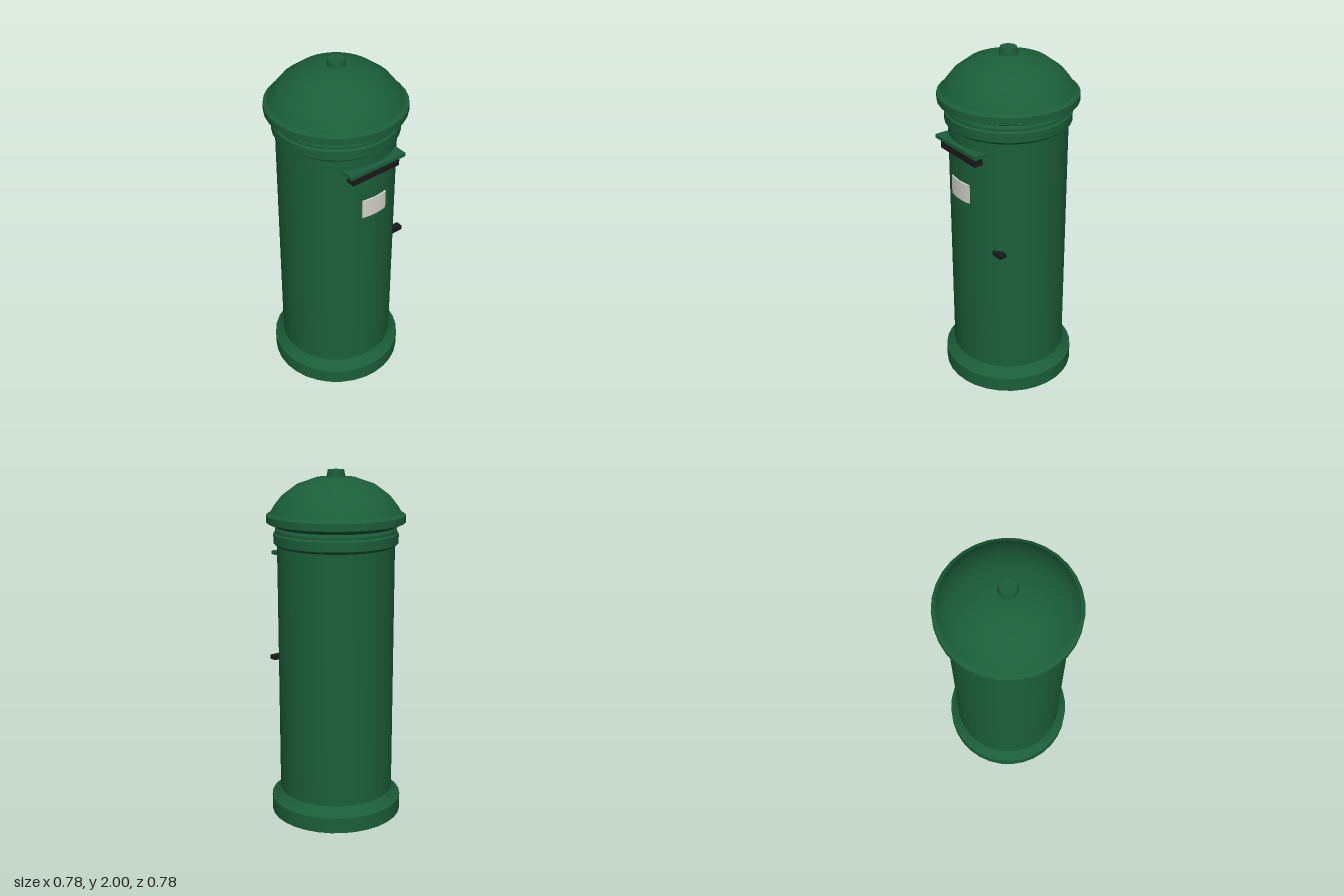
import * as THREE from 'three';
import { toCreasedNormals } from 'three/addons/utils/BufferGeometryUtils.js';

const green = new THREE.MeshStandardMaterial({ color: 0x1b5e3a });
const black = new THREE.MeshStandardMaterial({ color: 0x1a1a1a });
const white = new THREE.MeshStandardMaterial({ color: 0xd4d4cc });

export function createModel() {
  const model = new THREE.Group();

  const add = (name, geometry, material) => {
    const mesh = new THREE.Mesh(geometry, material);
    mesh.name = name;
    model.add(mesh);
    return mesh;
  };

  // Turned part from [radius, height] pairs, listed bottom to top
  const turned = (name, profile, segments = 32) => {
    const points = profile.map(([r, y]) => new THREE.Vector2(r, y));
    return add(name, toCreasedNormals(new THREE.LatheGeometry(points, segments), 0.45), green);
  };

  const box = (name, size, position, material) =>
    add(name, new THREE.BoxGeometry(...size), material).position.set(...position);

  // Plinth with a flared top
  turned('base', [[0, 0], [0.381, 0], [0.381, 0.09], [0.368, 0.098], [0.348, 0.118], [0.33, 0.142], [0, 0.142]]);

  // Pillar
  turned('body', [[0, 0.1], [0.33, 0.1], [0.33, 1.7], [0, 1.7]]);

  // Stepped collar under the cap
  turned('collar', [
    [0.32, 1.585], [0.333, 1.585], [0.35, 1.6], [0.35, 1.652], [0.341, 1.66],
    [0.341, 1.675], [0.333, 1.69], [0.32, 1.69],
  ]);

  // Domed cap with overhanging rim
  turned('cap', [
    [0, 1.69], [0.335, 1.69], [0.388, 1.715], [0.388, 1.755], [0.366, 1.768], [0.345, 1.803],
    [0.302, 1.857], [0.217, 1.92], [0.11, 1.957], [0, 1.966],
  ]);

  // Knob on the crown
  turned('knob', [[0, 1.94], [0.051, 1.94], [0.051, 1.965], [0.045, 2], [0, 2]], 24);

  // Letter slot and its rain hood
  box('letterSlot', [0.316, 0.05, 0.08], [0, 1.475, 0.3], black);
  box('slotHood', [0.37, 0.021, 0.09], [0, 1.515, 0.312], green);

  // Notice plate, bent around the pillar
  const plate = new THREE.Shape();
  const half = 0.24;
  plate.absarc(0, 0, 0.338, -half, half, false);
  plate.absarc(0, 0, 0.322, half, -half, true);
  plate.closePath();
  const plateGeometry = new THREE.ExtrudeGeometry(plate, { depth: 0.11, bevelEnabled: false, curveSegments: 4 });
  plateGeometry.rotateX(-Math.PI / 2).rotateY(-Math.PI / 2).translate(0, 1.2, 0);
  add('noticePlate', plateGeometry, white);

  // Door handle
  box('doorHandle', [0.07, 0.025, 0.042], [0.24, 0.925, 0.243], black);

  return model;
}
